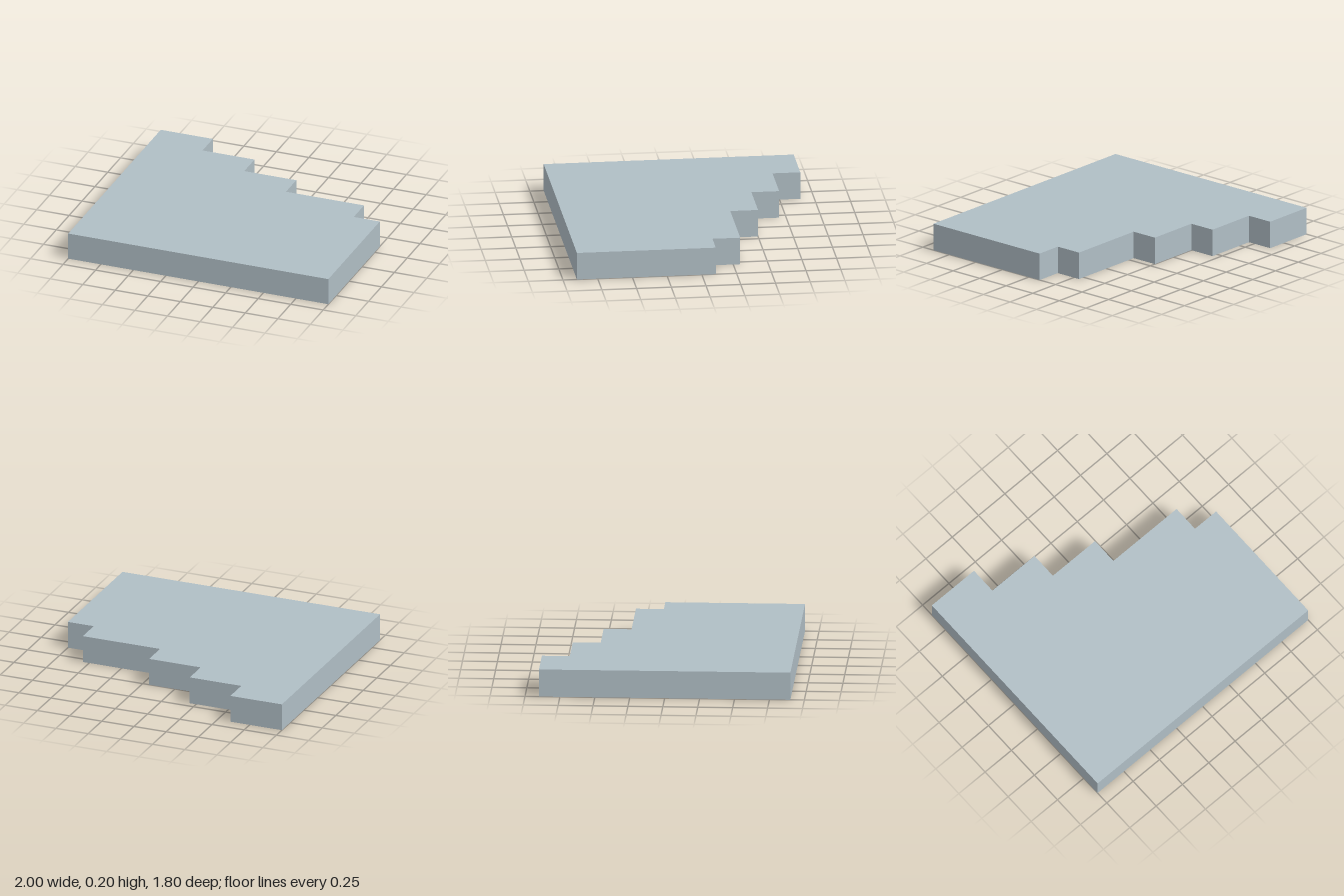
import * as THREE from 'three';

export function createModel() {
  const group = new THREE.Group();
  group.name = 'steppedSlab';
  const paleGrey = new THREE.MeshStandardMaterial({ color: 0xb0bec5 });
  paleGrey.name = 'paleBlueGrey';

  // Plan outline: straight front and sides, staircase along the back.
  // Each step is [right end in x, back edge in z], from the right (-x) to the left (+x).
  const steps = [[-0.6, -0.9], [-0.2, -0.7], [0.2, -0.5], [0.8, -0.3], [1, -0.1]];
  const outline = new THREE.Shape();
  outline.moveTo(1, -0.9);
  outline.lineTo(-1, -0.9);
  let x = -1;
  for (const [endX, z] of steps) {
    outline.lineTo(x, -z);
    outline.lineTo(endX, -z);
    x = endX;
  }
  outline.closePath();

  // Slab lying flat on the ground
  const geometry = new THREE.ExtrudeGeometry(outline, { depth: 0.2, bevelEnabled: false });
  geometry.rotateX(-Math.PI / 2);
  const slab = new THREE.Mesh(geometry, paleGrey);
  slab.name = 'slab';
  group.add(slab);
  return group;
}
